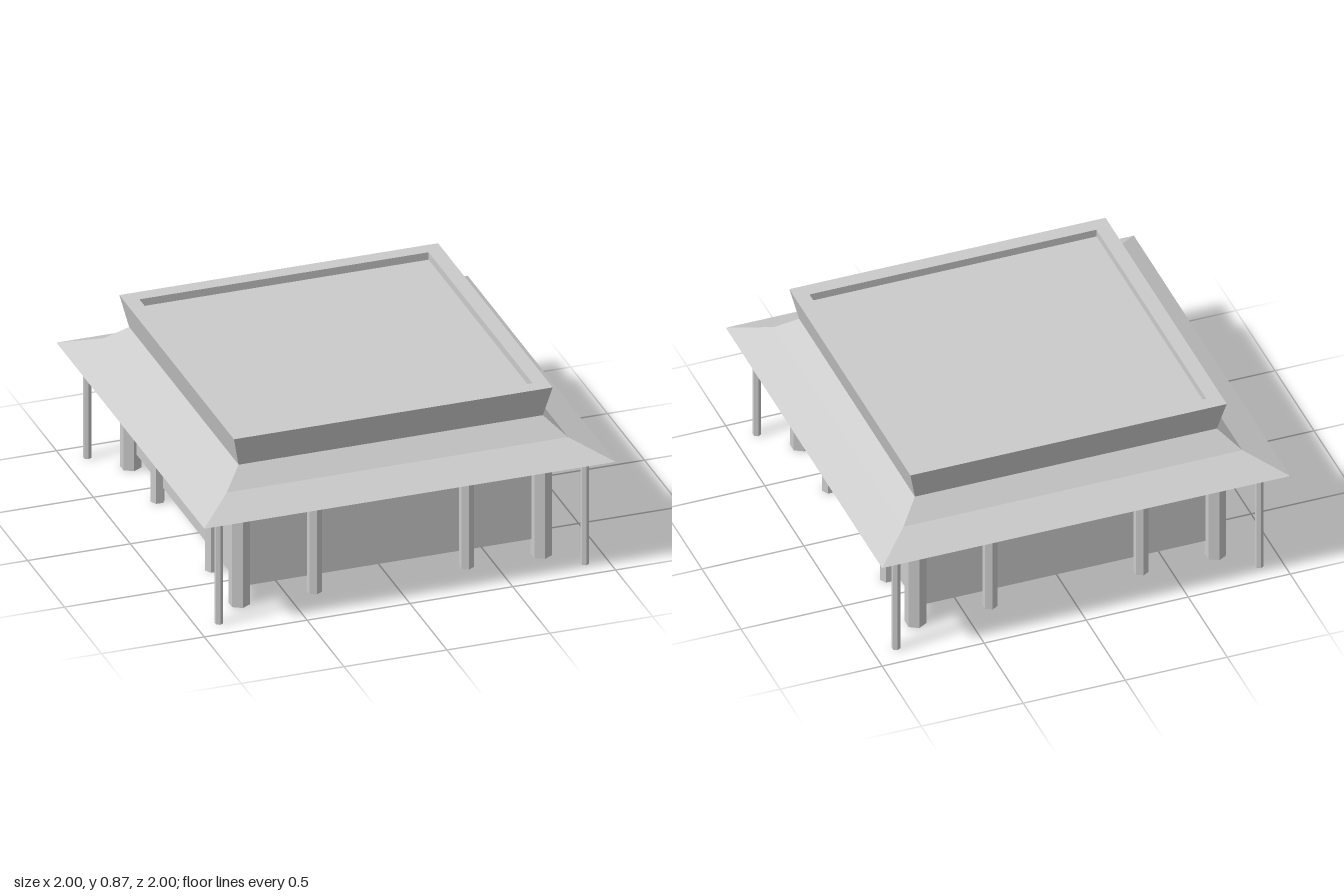
import * as THREE from 'three';

const material = new THREE.MeshStandardMaterial({ color: 0xcccccc, flatShading: true, side: THREE.DoubleSide });

// Square solid swept from [halfWidth, height] points
function squareSweep(name, points) {
  const profile = points.map(([w, y]) => new THREE.Vector2(w * Math.SQRT2, y));
  const geometry = new THREE.LatheGeometry(profile, 4, Math.PI / 4).toNonIndexed();
  geometry.computeVertexNormals();
  const mesh = new THREE.Mesh(geometry, material);
  mesh.name = name;
  return mesh;
}

function box(name, w, h, d, x, y, z) {
  const mesh = new THREE.Mesh(new THREE.BoxGeometry(w, h, d), material);
  mesh.position.set(x, y, z);
  mesh.name = name;
  return mesh;
}

// Six-sided post standing on the ground
function post(name, radius, height, x, z, turn = 0) {
  const mesh = new THREE.Mesh(new THREE.CylinderGeometry(radius, radius, height, 6), material);
  mesh.position.set(x, height / 2, z);
  mesh.rotation.y = turn;
  mesh.name = name;
  return mesh;
}

// Four beams forming a square frame
function beamRing(name, half, size, y) {
  const ring = new THREE.Group();
  ring.name = name;
  for (const s of [-1, 1]) {
    ring.add(box(name + 'Side', 2 * half, size, size, 0, y, s * half));
    ring.add(box(name + 'Side', size, size, 2 * half, s * half, y, 0));
  }
  return ring;
}

export function createModel() {
  const model = new THREE.Group();
  model.name = 'pavilion';

  // Raised room
  model.add(box('walls', 1.44, 0.62, 1.44, 0, 0.388, 0));

  // Curved eaves with a thin underside
  model.add(squareSweep('eaves', [
    [0.72, 0.7], [0.82, 0.617], [0.985, 0.555], [1, 0.555], [0.83, 0.63], [0.74, 0.715],
  ]));

  // Flared parapet around a sunken flat roof
  model.add(squareSweep('parapet', [
    [0.72, 0.7], [0.74, 0.715], [0.775, 0.868], [0.703, 0.868], [0.703, 0.83],
  ]));
  model.add(box('roofDeck', 1.41, 0.02, 1.41, 0, 0.82, 0));

  // Columns, mirrored over all four sides
  for (const a of [-1, 1]) {
    for (const b of [-1, 1]) {
      model.add(post('cornerColumn', 0.05, 0.62, a * 0.735, b * 0.735));
      model.add(post('eavesPost', 0.02, 0.575, a * 0.89, b * 0.89));
      model.add(post('wallColumn', 0.035, 0.62, a * 0.37, b * 0.735));
      model.add(post('wallColumn', 0.035, 0.62, b * 0.735, a * 0.37, Math.PI / 2));
    }
  }

  // Beams tucked beneath the eaves
  model.add(beamRing('outerBeam', 0.89, 0.025, 0.57));
  model.add(beamRing('innerBeam', 0.735, 0.035, 0.59));
  for (const s of [-1, 1]) {
    for (const t of [-1, 1]) {
      model.add(box('crossBeam', 0.22, 0.022, 0.022, s * 0.82, 0.567, t * 0.37));
    }
  }
  return model;
}
